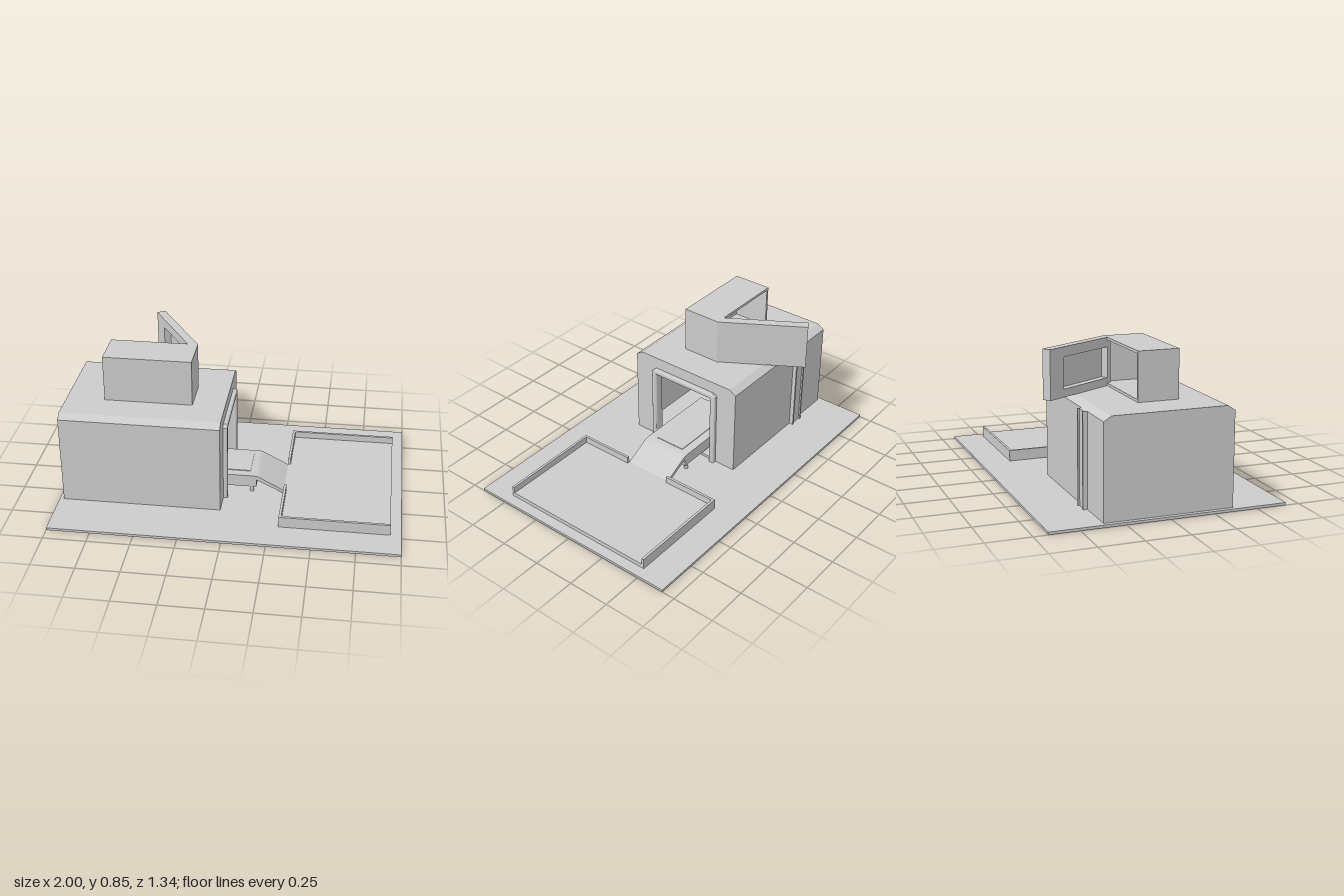
import * as THREE from 'three';
import { toCreasedNormals } from 'three/addons/utils/BufferGeometryUtils.js';

const grey = new THREE.MeshStandardMaterial({ color: 0xcccccc });

function add(parent, name, geometry) {
  const mesh = new THREE.Mesh(geometry, grey);
  mesh.name = name;
  parent.add(mesh);
  return mesh;
}

// Box given by its limits on each axis
function box(parent, name, [x0, x1], [y0, y1], [z0, z1]) {
  const mesh = add(parent, name, new THREE.BoxGeometry(x1 - x0, y1 - y0, z1 - z0));
  mesh.position.set((x0 + x1) / 2, (y0 + y1) / 2, (z0 + z1) / 2);
  return mesh;
}

const outline = (pts) => new THREE.Shape(pts.map(([x, y]) => new THREE.Vector2(x, y)));
const rect = (x0, x1, y0, y1) => outline([[x0, y0], [x1, y0], [x1, y1], [x0, y1]]);

// Cross-section in the z-y plane, extruded along x from x0 to x1
function alongX(parent, name, shape, x0, x1) {
  const geo = new THREE.ExtrudeGeometry(shape, { depth: x1 - x0, bevelEnabled: false });
  geo.rotateY(Math.PI / 2).translate(x0, 0, 0);
  return add(parent, name, geo);
}

// House section with chamfered roof edges, shrunk by a wall thickness t
const houseSection = (t) => outline([
  [-0.367 + t, t], [0.367 - t, t], [0.367 - t, 0.548 - t * 0.7],
  [0.325 - t * 0.7, 0.575 - t], [-0.325 + t * 0.7, 0.575 - t], [-0.367 + t, 0.548 - t * 0.7],
]);

function buildHouse() {
  const house = new THREE.Group();
  house.name = 'house';
  const wall = 0.03;
  alongX(house, 'rearWall', houseSection(0), -0.975, -0.945);
  const shell = houseSection(0);
  shell.holes.push(houseSection(wall));
  alongX(house, 'shell', shell, -0.945, -0.075);
  const front = houseSection(0);
  front.holes.push(rect(-0.2, 0.2, wall, 0.485));
  alongX(house, 'doorWall', front, -0.075, -0.045);

  // Rounded door frame
  const b = 0.01, o = 0.235 - b, i = 0.2 + b, top = 0.505 - b, inner = 0.485 - b * 0.2;
  const frame = outline([
    [-o, 0.015], [-i, 0.015], [-i, inner], [i, inner], [i, 0.015], [o, 0.015],
    [o, top - 0.012], [o - 0.012, top], [-o + 0.012, top], [-o, top - 0.012],
  ]);
  const geo = new THREE.ExtrudeGeometry(frame, {
    depth: 0.015, bevelThickness: b, bevelSize: b, bevelSegments: 4,
  });
  geo.rotateY(Math.PI / 2).translate(-0.045, 0, 0);
  add(house, 'doorFrame', toCreasedNormals(geo, 0.7));
  return house;
}

function buildRoofBox() {
  const roofBox = new THREE.Group();
  roofBox.name = 'roofBox';
  const x = [-0.75, -0.235], y = [0.575, 0.85], z = [-0.09, 0.145], t = 0.015;
  box(roofBox, 'boxFront', x, y, [z[1] - t, z[1]]);
  box(roofBox, 'boxFloor', x, [y[0], y[0] + t], [z[0], z[1] - t]);
  box(roofBox, 'boxTop', x, [y[1] - t, y[1]], [z[0], z[1] - t]);
  for (const x0 of [x[0], x[1] - t])
    box(roofBox, 'boxSide', [x0, x0 + t], [y[0] + t, y[1] - t], [z[0], z[1] - t]);

  // Open door, modelled flat from its hinge, with a pocket in the outer face
  const hatch = new THREE.Group();
  hatch.name = 'hatch';
  const length = 0.523, height = 0.275, pocket = 0.042, thick = 0.052;
  const panel = rect(0, length, 0, height);
  panel.holes.push(rect(length - 0.41, length - 0.03, 0.045, 0.22));
  const geo = new THREE.ExtrudeGeometry(panel, { depth: pocket, bevelEnabled: false });
  geo.translate(-length, 0, thick - pocket);
  add(hatch, 'hatchRim', geo);
  box(hatch, 'hatchBack', [-length, 0], [0, height], [0, thick - pocket]);
  // Flat x runs toward the hinge, flat z becomes the outer face
  hatch.position.set(-0.235, 0.575, -0.09);
  const along = new THREE.Vector3(0.275, 0, 0.445).normalize();
  const up = new THREE.Vector3(0, 1, 0);
  const outward = new THREE.Vector3().crossVectors(along, up);
  hatch.quaternion.setFromRotationMatrix(new THREE.Matrix4().makeBasis(along, up, outward));
  roofBox.add(hatch);
  return roofBox;
}

function buildRamp() {
  const ramp = new THREE.Group();
  ramp.name = 'ramp';
  // Side profile: level deck, then a thin slope down to the pen
  const profile = outline([
    [-0.4, 0.05], [0.14, 0.05], [0.14, 0.098], [0.305, 0.017],
    [0.305, 0.038], [0.16, 0.114], [0.145, 0.121], [0.125, 0.124], [-0.4, 0.124],
  ]);
  const geo = new THREE.ExtrudeGeometry(profile, { depth: 0.295, bevelEnabled: false });
  geo.translate(0, 0, -0.1475);
  add(ramp, 'deck', toCreasedNormals(geo, 0.5));
  box(ramp, 'deckPlate', [-0.4, 0.1], [0.12, 0.128], [-0.095, 0.095]);
  for (const side of [-1, 1]) {
    const leg = add(ramp, 'leg', new THREE.CylinderGeometry(0.012, 0.012, 0.05, 20));
    leg.position.set(0.113, 0.03, side * 0.133);
  }
  return ramp;
}

function buildPen() {
  const pen = new THREE.Group();
  pen.name = 'pen';
  const x = [0.305, 0.937], w = 0.015, e = 0.493;
  box(pen, 'penFloor', x, [0.01, 0.04], [-e, e]);
  for (const side of [-1, 1]) {
    const span = (a, b) => [side * a, side * b].sort((p, q) => p - q);
    box(pen, 'penSideWall', x, [0.04, 0.08], span(e - w, e));
    box(pen, 'penEndWall', [x[0], x[0] + w], [0.04, 0.08], span(0.147, e - w));
  }
  return pen;
}

// Channel standing against the back of the house
function buildRail() {
  const rail = new THREE.Group();
  rail.name = 'rail';
  box(rail, 'railWeb', [-0.73, -0.65], [0.005, 0.548], [-0.383, -0.366]);
  for (const x of [-0.735, -0.657])
    box(rail, 'railFlange', [x, x + 0.012], [0.005, 0.548], [-0.392, -0.366]);
  return rail;
}

export function createModel() {
  const model = new THREE.Group();
  model.name = 'model';
  box(model, 'base', [-1, 1], [0, 0.015], [-0.672, 0.672]);
  model.add(buildHouse(), buildRoofBox(), buildRamp(), buildPen(), buildRail());
  return model;
}
